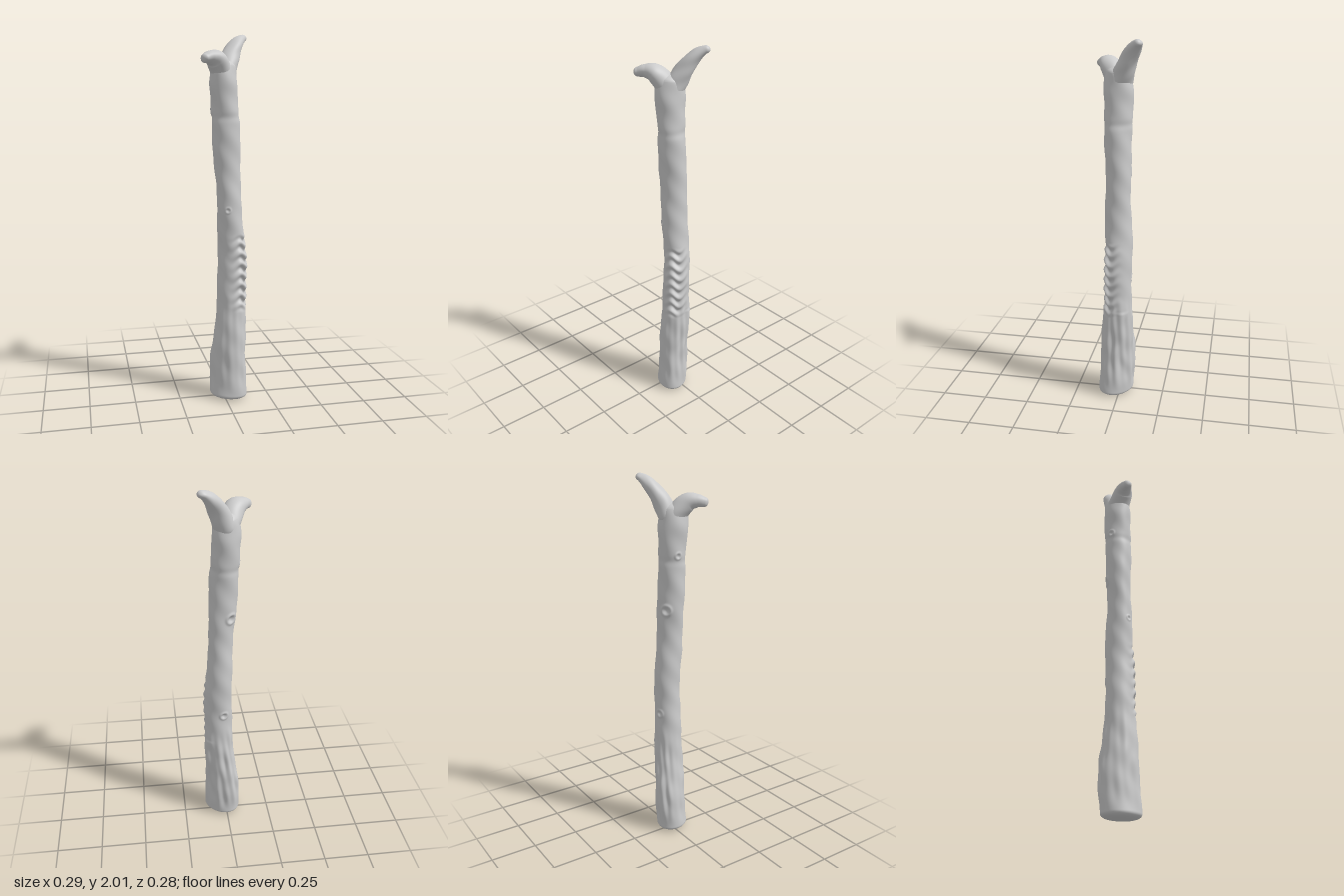
import * as THREE from 'three';

const material = new THREE.MeshStandardMaterial({ color: 0xcccccc, roughness: 0.9 });
const SIDE = new THREE.Vector3(1, 0, 1).normalize(); // horizontal axis square to the fork

const gauss = (v, w) => Math.exp(-(v / w) * (v / w));
const smooth = THREE.MathUtils.smoothstep;

// Closed loft along stations [x, y, z, sideRadius, otherRadius] with rounded ends.
// relief(angle, y) pushes the surface in or out.
function loft(name, stations, rings, segs, startCap, endCap, relief) {
  const path = new THREE.CatmullRomCurve3(stations.map(s => new THREE.Vector3(s[0], s[1], s[2])), false, 'catmullrom', 0.5);
  const size = new THREE.CatmullRomCurve3(stations.map(s => new THREE.Vector3(s[3], s[4], 0)), false, 'catmullrom', 0.5);
  const rows = [];
  const capRows = 10;
  for (let i = 1; i <= capRows; i++) {
    const a = (i / capRows) * Math.PI / 2;
    rows.push([startCap * (1 - Math.cos(a)), Math.sqrt(Math.sin(a))]);
  }
  for (let i = 1; i < rings; i++) rows.push([startCap + (1 - startCap - endCap) * i / rings, 1]);
  for (let i = capRows; i >= 1; i--) {
    const a = (i / capRows) * Math.PI / 2;
    rows.push([1 - endCap * (1 - Math.cos(a)), Math.pow(Math.sin(a), 0.8)]);
  }

  const pos = [], index = [];
  for (const [u, scale] of rows) {
    const c = path.getPoint(u), r = size.getPoint(u);
    const up = path.getTangent(u).cross(SIDE).normalize();
    for (let j = 0; j < segs; j++) {
      let phi = (j / segs) * Math.PI * 2;
      if (phi > Math.PI) phi -= Math.PI * 2;
      const d = relief(phi, c.y);
      const p = c.clone()
        .addScaledVector(SIDE, Math.cos(phi) * (r.x + d) * scale)
        .addScaledVector(up, Math.sin(phi) * (r.y + d) * scale);
      pos.push(p.x, p.y, p.z);
    }
  }
  for (let i = 0; i < rows.length - 1; i++) {
    for (let j = 0; j < segs; j++) {
      const k = (j + 1) % segs;
      const a = i * segs + j, b = i * segs + k, c = b + segs, d = a + segs;
      index.push(a, b, c, a, c, d);
    }
  }
  // end points
  const first = pos.length / 3, last = (rows.length - 1) * segs;
  pos.push(...path.getPoint(0).toArray(), ...path.getPoint(1).toArray());
  for (let j = 0; j < segs; j++) {
    const k = (j + 1) % segs;
    index.push(first, k, j, first + 1, last + j, last + k);
  }
  const geometry = new THREE.BufferGeometry();
  geometry.setAttribute('position', new THREE.Float32BufferAttribute(pos, 3));
  geometry.setIndex(index);
  geometry.computeVertexNormals();
  const mesh = new THREE.Mesh(geometry, material);
  mesh.name = name;
  return mesh;
}

// Bark relief of the trunk; angle 0 faces +x +z, a quarter turn faces +x -z
function trunkRelief(phi, y) {
  // broad uneven swelling
  let d = 0.0025 * Math.sin(9 * y + 2 * phi) + 0.002 * Math.sin(17 * y - phi + 1) + 0.0012 * Math.sin(41 * y + 3 * phi);
  d += 0.004 * gauss(y - 1.74, 0.05) - 0.003 * gauss(y - 1.57, 0.02);

  // carved stack of wavy ridges
  const carved = smooth(y, 0.5, 0.56) * (1 - smooth(y, 0.9, 0.95)) * Math.pow(gauss(phi, 0.72), 1.2);
  const wave = Math.sin((y + 0.014 * Math.sin(phi * 4.5)) * Math.PI * 2 / 0.058);
  d += carved * (0.009 * wave - 0.003);

  // long furrows in the weathered lower part
  const low = 1 - smooth(y, 0.4, 0.66);
  const away = 0.35 + 0.65 * smooth(Math.cos(phi - 1.9), -0.5, 0.6);
  const furrow = Math.sin(7 * phi + 1.6 * Math.sin(8 * y) + 0.5 * Math.sin(31 * y));
  const breaks = 0.6 + 0.4 * Math.sin(19 * y + 3 * phi);
  d += low * smooth(y, 0.03, 0.14) * away * (0.006 * furrow * breaks + 0.0025 * Math.sin(13 * phi + 9 * y));

  // torn edge of bark above the furrows
  d += 0.005 * gauss(phi - 1.25, 0.4) * smooth(y, 0.2, 0.4) * (1 - smooth(y, 0.53, 0.55));

  // knot holes: a raised rim round a shallow pit
  for (const [angle, height, radius] of [[3.0, 1.31, 0.026], [-2.5, 1.6, 0.016], [-1.1, 1.08, 0.014], [2.7, 0.72, 0.02]]) {
    let da = phi - angle;
    if (da < -Math.PI) da += Math.PI * 2;
    const r = Math.hypot(da * 0.072, y - height) / radius;
    d += radius * (0.22 * gauss(r - 1, 0.35) - 0.3 * gauss(r, 0.6));
  }
  return d;
}

const branchRelief = (phi, y) => 0.0015 * Math.sin(2 * phi + 40 * y) + 0.001 * Math.sin(3 * phi - 70 * y);

// Branch stations [s, y, sideRadius, otherRadius], s runs along the fork
const along = list => list.map(([s, y, a, b, shift = 0]) =>
  [(s + shift) * Math.SQRT1_2, y, (shift - s) * Math.SQRT1_2 + 0.005, a, b]);

export function createModel() {
  const group = new THREE.Group();
  group.name = 'forkedStick';

  const trunk = [
    [0.022, 0.0, 0.02, 0.108, 0.086],
    [0.024, 0.2, 0.013, 0.104, 0.082],
    [0.035, 0.4, 0.01, 0.091, 0.077],
    [0.045, 0.6, 0.009, 0.082, 0.073],
    [0.046, 0.8, 0.005, 0.078, 0.073],
    [0.037, 1.0, 0.005, 0.072, 0.07],
    [0.025, 1.2, 0.01, 0.067, 0.067],
    [0.017, 1.4, 0.01, 0.072, 0.073],
    [0.005, 1.6, 0.012, 0.073, 0.073],
    [-0.002, 1.8, 0.012, 0.068, 0.072],
    [0.0, 1.865, 0.01, 0.05, 0.055],
  ];
  group.add(loft('trunk', trunk, 400, 120, 0.014, 0.06, trunkRelief));

  // short thick stub of the fork
  group.add(loft('shortBranch', along([
    [0.0, 1.76, 0.062, 0.055],
    [-0.04, 1.825, 0.062, 0.052, 0.004],
    [-0.085, 1.865, 0.056, 0.046, 0.008],
    [-0.13, 1.873, 0.04, 0.033, 0.002],
    [-0.165, 1.867, 0.028, 0.024],
    [-0.187, 1.863, 0.022, 0.018],
  ]), 50, 40, 0.1, 0.13, branchRelief));

  // longer rising prong of the fork
  group.add(loft('longBranch', along([
    [0.0, 1.76, 0.062, 0.055],
    [0.038, 1.84, 0.058, 0.05],
    [0.078, 1.905, 0.049, 0.043],
    [0.122, 1.955, 0.04, 0.033, 0.002],
    [0.16, 1.981, 0.029, 0.021, 0.008],
    [0.189, 1.988, 0.021, 0.014, 0.014],
  ]), 50, 40, 0.1, 0.13, branchRelief));

  return group;
}
